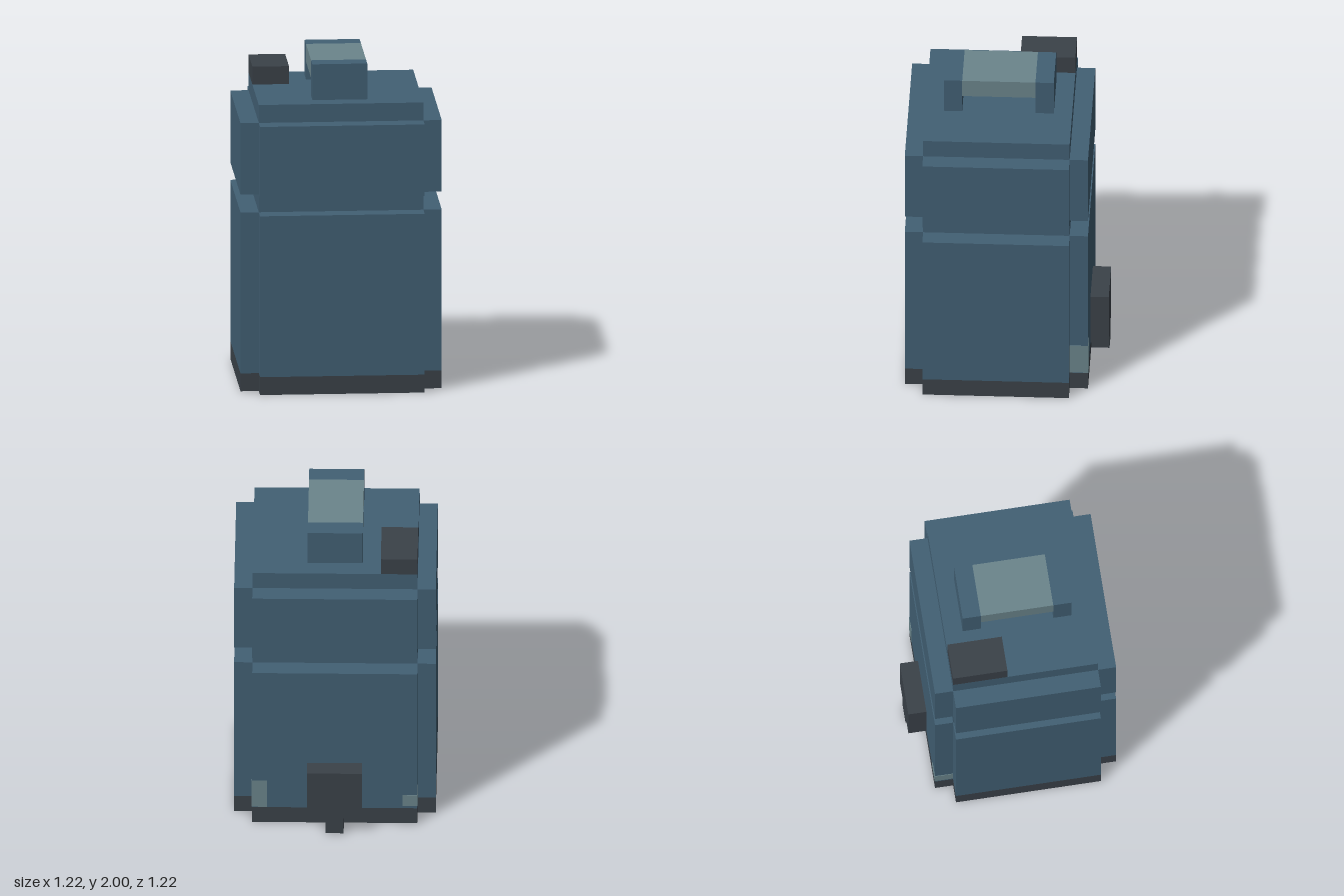
import * as THREE from 'three';

const U = 1 / 9; // all parts sit on a 1/9 unit block grid

function material(name, color) {
  const m = new THREE.MeshStandardMaterial({ color });
  m.name = name;
  return m;
}

export function createModel() {
  const model = new THREE.Group();
  model.name = 'canister';
  const blue = material('steel blue', 0x426074);
  const dark = material('dark grey', 0x3b4249);
  const pale = material('pale worn metal', 0x6b858c);

  // Box from its minimum and maximum corners
  function box(name, mat, x0, x1, y0, y1, z0, z1) {
    const mesh = new THREE.Mesh(new THREE.BoxGeometry(x1 - x0, y1 - y0, z1 - z0), mat);
    mesh.position.set((x0 + x1) / 2, (y0 + y1) / 2, (z0 + z1) / 2);
    mesh.name = name;
    model.add(mesh);
  }

  // Square prism with notched vertical corners
  const wide = 5.5 * U, core = 4.5 * U, midZ = 0.5 * U;
  function notchedPrism(name, mat, y0, y1) {
    const outline = [
      [wide, -4 * U], [wide, 4 * U], [core, 4 * U], [core, 5 * U], [-core, 5 * U], [-core, 4 * U],
      [-wide, 4 * U], [-wide, -4 * U], [-core, -4 * U], [-core, -5 * U], [core, -5 * U], [core, -4 * U],
    ].map(([x, y]) => new THREE.Vector2(x, y));
    const geo = new THREE.ExtrudeGeometry(new THREE.Shape(outline), { depth: y1 - y0, bevelEnabled: false });
    geo.rotateX(-Math.PI / 2).translate(0, y0, midZ);
    const mesh = new THREE.Mesh(geo, mat);
    mesh.name = name;
    model.add(mesh);
  }

  // Tank body
  notchedPrism('base', dark, 0, U);
  notchedPrism('lowerBody', blue, U, 10 * U);
  box('neck', blue, -core, core, 10 * U, 11 * U, -3.5 * U, 4.5 * U);
  notchedPrism('upperBody', blue, 11 * U, 15 * U);
  box('lid', blue, -core, core, 15 * U, 16 * U, -3.5 * U, 4.5 * U);

  // Carrying handle
  const h = 1.5 * U;
  box('handleFrontPost', blue, -h, h, 16 * U, 18 * U, 2.5 * U, 3.5 * U);
  box('handleBackPost', blue, -h, h, 16 * U, 18 * U, -2.5 * U, -1.5 * U);
  box('handleGrip', pale, -h, h, 17 * U, 18 * U, -1.5 * U, 2.5 * U);

  // Filler cap on the lid
  box('fillerCap', dark, -core, -2.5 * U, 16 * U, 17 * U, -3.5 * U, -0.5 * U);

  // Tap at the back
  box('tapPlate', dark, -h, h, U, 4 * U, -5.5 * U, -4.5 * U);
  box('tapSpout', dark, -0.5 * U, 0.5 * U, 0, U, -5.5 * U, -4.5 * U);

  // Worn patches wrapping the back corners
  const t = 0.003;
  for (const [side, y0, y1] of [[1, 0.115, 0.31], [-1, 0.13, 0.21]]) {
    const a = side * (core - 0.09), b = side * (core + t);
    box('wornBackPatch', pale, Math.min(a, b), Math.max(a, b), y0, y1, -core - t, -core + t);
    const c = side * (core - t);
    box('wornSidePatch', pale, Math.min(c, b), Math.max(c, b), y0, y1, -core, -3.5 * U);
  }
  return model;
}
